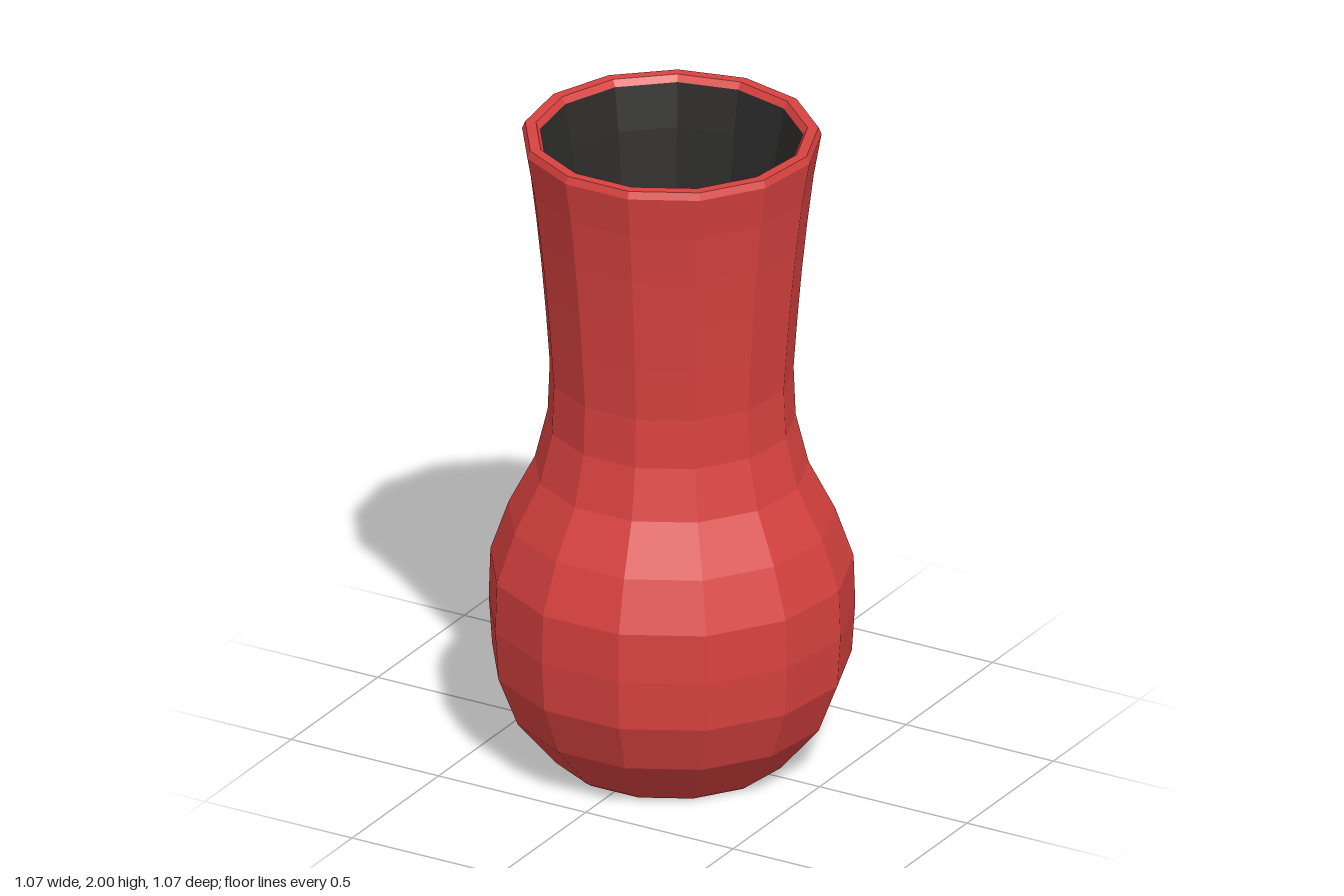
import * as THREE from 'three';

const SIDES = 13;

// Faceted ring of revolution with one corner pointing to the back
function turned(name, profile, color) {
  const points = profile.map(([r, y]) => new THREE.Vector2(r, y));
  const geometry = new THREE.LatheGeometry(points, SIDES, Math.PI);
  const material = new THREE.MeshStandardMaterial({ color, flatShading: true });
  const mesh = new THREE.Mesh(geometry, material);
  mesh.name = name;
  return mesh;
}

export function createModel() {
  const group = new THREE.Group();
  group.name = 'vase';

  // Outer wall, from the centre of the base up to the rim
  const body = [
    [0, 0], [0.335, 0], [0.352, 0.012], [0.472, 0.155], [0.531, 0.308],
    [0.541, 0.462], [0.536, 0.615], [0.482, 0.77], [0.404, 0.922],
    [0.366, 1.077], [0.36, 1.23], [0.371, 1.385], [0.384, 1.538],
    [0.4, 1.692], [0.419, 1.846], [0.442, 1.978],
  ];
  // Bevelled lip
  const rim = [[0.442, 1.978], [0.433, 2], [0.401, 2], [0.388, 1.98]];

  // Inner wall, offset from the outer one by the wall thickness, down to the floor
  const wall = 0.056;
  const inside = [
    [0.388, 1.98],
    ...body.slice(3, -1).reverse().map(([r, y]) => [r - wall, y]),
    [0.3, 0.055], [0, 0.055],
  ];

  group.add(
    turned('body', body, 0xd84240),
    turned('rim', rim, 0xd84240),
    turned('interior', inside, 0x2c2b2a),
  );

  // Centre the odd-sided outline in depth
  const shift = 0.541 * (1 - Math.cos(Math.PI / SIDES)) / 2;
  group.children.forEach((mesh) => { mesh.position.z = shift; });
  return group;
}
